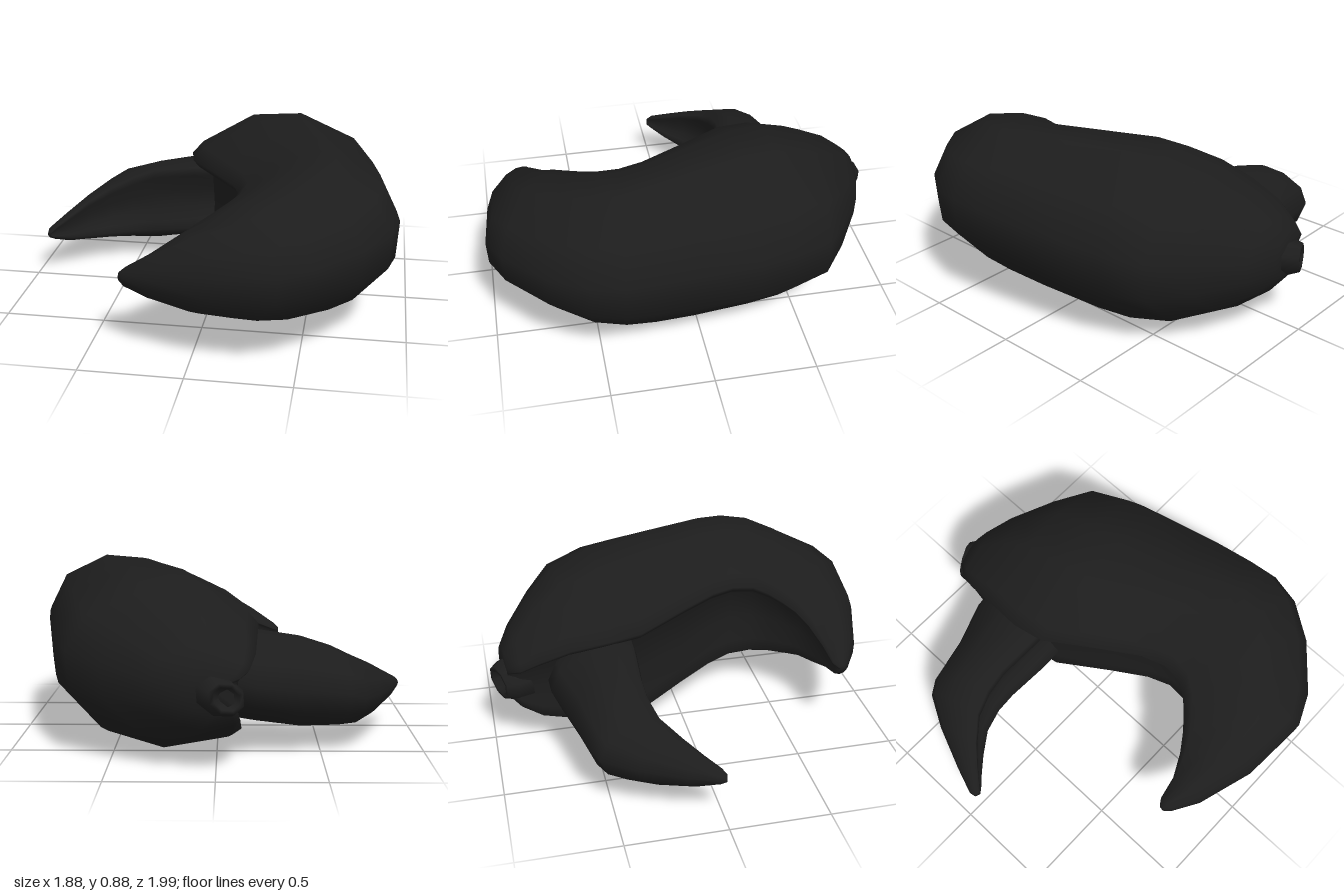
import * as THREE from 'three';

// Cross-section as [u, v]: u runs from the biting side (0) to the outer side (1), v from bottom to top
const BODY_PROFILE = [
  [0.12, 0.4], [0.11, 0.61], [0.03, 0.67], [0, 0.71], [0.06, 0.79], [0.34, 0.98], [0.6, 1], [0.89, 0.85],
  [1, 0.62], [0.985, 0.37], [0.78, 0.11], [0.49, 0], [0.15, 0.07], [0.09, 0.12], [0.11, 0.2],
];
const JAW_PROFILE = [
  [0.17, 0.42], [0.19, 0.64], [0.07, 0.86], [0.1, 0.95], [0.3, 1], [0.6, 0.94], [0.9, 0.75], [1, 0.5],
  [0.9, 0.25], [0.6, 0.05], [0.3, 0], [0.06, 0.1], [0, 0.19], [0.08, 0.28],
];

// Each section: inner x, inner z, outer x, outer z, bottom y, top y
const BODY_SECTIONS = [
  [-0.11, -0.91, 0.14, -0.94, 0.28, 0.52],
  [-0.15, -0.85, 0.30, -0.885, 0.20, 0.585],
  [-0.18, -0.75, 0.53, -0.75, 0.11, 0.70],
  [-0.19, -0.60, 0.71, -0.62, 0.05, 0.795],
  [-0.20, -0.40, 0.79, -0.42, 0.003, 0.862],
  [-0.17, -0.24, 0.83, -0.25, 0.005, 0.875],
  [0.00, 0.02, 0.89, 0.05, 0.06, 0.88],
  [0.11, 0.20, 0.92, 0.25, 0.10, 0.88],
  [0.15, 0.32, 0.935, 0.40, 0.13, 0.873],
  [0.14, 0.43, 0.90, 0.56, 0.15, 0.855],
  [0.09, 0.50, 0.78, 0.74, 0.175, 0.815],
  [0.03, 0.56, 0.57, 0.93, 0.20, 0.765],
  [-0.03, 0.61, 0.42, 1.00, 0.225, 0.715],
  [-0.10, 0.66, 0.10, 0.98, 0.25, 0.635],
  [-0.20, 0.71, -0.19, 0.89, 0.30, 0.51],
  [-0.31, 0.73, -0.32, 0.81, 0.335, 0.43],
  [-0.34, 0.75, -0.345, 0.785, 0.36, 0.405],
];
const JAW_SECTIONS = [
  [-0.905, 0.01, -0.935, 0.00, 0.22, 0.255],
  [-0.88, -0.01, -0.94, -0.03, 0.205, 0.28],
  [-0.82, -0.07, -0.89, -0.17, 0.165, 0.325],
  [-0.74, -0.14, -0.80, -0.39, 0.135, 0.385],
  [-0.63, -0.22, -0.71, -0.55, 0.11, 0.445],
  [-0.51, -0.255, -0.64, -0.59, 0.105, 0.50],
  [-0.40, -0.26, -0.40, -0.64, 0.105, 0.55],
  [-0.17, -0.24, -0.19, -0.71, 0.14, 0.585],
  [0.10, -0.24, 0.10, -0.72, 0.19, 0.60],
];

// Smooth closed skin through the sections, with a fan at either end
function loft(profile, sections) {
  const positions = [], index = [], n = profile.length, last = sections.length - 1;
  for (const [ix, iz, ox, oz, y0, y1] of sections) {
    for (const [u, v] of profile) {
      positions.push(ix + (ox - ix) * u, y0 + (y1 - y0) * v, iz + (oz - iz) * u);
    }
  }
  for (const s of [0, last]) {
    const [ix, iz, ox, oz, y0, y1] = sections[s];
    positions.push((ix + ox) / 2, (y0 + y1) / 2, (iz + oz) / 2);
  }
  const startCentre = n * sections.length, endCentre = startCentre + 1;
  for (let j = 0; j < n; j++) {
    const k = (j + 1) % n;
    for (let i = 0; i < last; i++) {
      const a = i * n + j, b = a + n, c = i * n + k, d = c + n;
      index.push(a, b, c, b, d, c);
    }
    index.push(startCentre, j, k, endCentre, last * n + k, last * n + j);
  }
  const geometry = new THREE.BufferGeometry();
  geometry.setAttribute('position', new THREE.Float32BufferAttribute(positions, 3));
  geometry.setIndex(index);
  geometry.computeVertexNormals();
  return geometry;
}

export function createModel() {
  const shell = new THREE.MeshStandardMaterial({ color: 0x1d1d1d });
  shell.name = 'black shell';
  const group = new THREE.Group();
  group.name = 'claw';
  const add = (name, geometry) => {
    const mesh = new THREE.Mesh(geometry, shell);
    mesh.name = name;
    group.add(mesh);
    return mesh;
  };

  // Broad palm curving into the fixed finger
  add('palmAndFixedFinger', loft(BODY_PROFILE, BODY_SECTIONS));

  // Hinged finger on the biting side
  add('movableFinger', loft(JAW_PROFILE, JAW_SECTIONS));

  // Short tapered, hollow wrist joint at the back
  const wristProfile = [[0.14, -0.1], [0.13, 0], [0.1, 0.055], [0.075, 0.055], [0.06, 0.02], [0, 0]]
    .map(([r, y]) => new THREE.Vector2(r, y));
  const wrist = add('wristJoint', new THREE.LatheGeometry(wristProfile, 8));
  wrist.position.set(-0.025, 0.365, -0.908);
  wrist.quaternion.setFromUnitVectors(
    new THREE.Vector3(0, 1, 0), new THREE.Vector3(-0.43, 0, -0.9).normalize());
  wrist.scale.set(0.95, 1, 0.7);

  return group;
}
